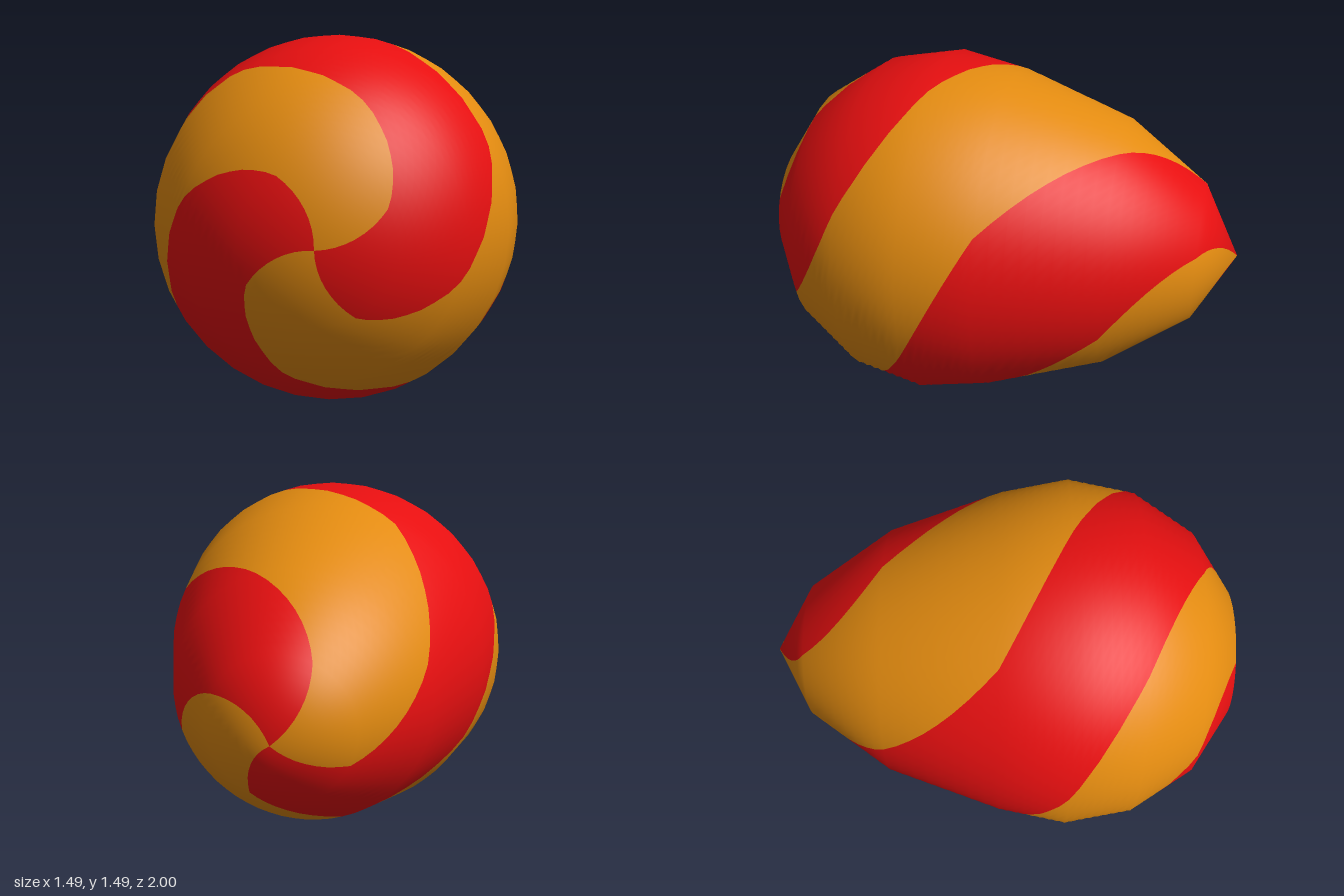
import * as THREE from 'three';

// Profile rings from blunt front to pointed back: [z, radius]
const RINGS = [
  [1, 0], [0.94, 0.285], [0.78, 0.527], [0.53, 0.69], [0.25, 0.745],
  [-0.03, 0.69], [-0.5, 0.525], [-0.84, 0.286], [-1, 0],
].map(([z, r]) => new THREE.Vector2(z, r));
// Twist of the swirl at each ring, in degrees
const TWIST = [0, 29, 73.5, 118, 162, 206, 251, 295, 325];
const SIDES = 32, ROWS = 8, COLS = 16, CENTRE_Y = 0.745;
const lerp = THREE.MathUtils.lerp;

// Smoothed profile normal at each ring
const NORMALS = RINGS.map((p, i) => {
  if (i === 0) return new THREE.Vector2(1, 0);
  if (i === RINGS.length - 1) return new THREE.Vector2(-1, 0);
  const sum = new THREE.Vector2();
  for (const [a, b] of [[RINGS[i - 1], p], [p, RINGS[i + 1]]]) {
    sum.add(new THREE.Vector2(b.y - a.y, a.x - b.x).normalize());
  }
  return sum.normalize();
});

// Keeps the cross-section a regular polygon
function polygonFactor(angle) {
  const step = (2 * Math.PI) / SIDES;
  const local = ((angle % step) + step) % step - step / 2;
  return Math.cos(step / 2) / Math.cos(local);
}

// One quarter-turn swirl band running from the front pole to the back pole
function bandGeometry(startDegrees) {
  const position = [], normal = [], index = [];
  const total = (RINGS.length - 1) * ROWS;
  for (let i = 0; i <= total; i++) {
    const k = Math.min(Math.floor(i / ROWS), RINGS.length - 2);
    const t = i / ROWS - k;
    const p = RINGS[k].clone().lerp(RINGS[k + 1], t);
    const n = NORMALS[k].clone().lerp(NORMALS[k + 1], t).normalize();
    const twist = lerp(TWIST[k], TWIST[k + 1], t) + startDegrees;
    for (let j = 0; j <= COLS; j++) {
      const a = THREE.MathUtils.degToRad(twist + (90 * j) / COLS);
      const r = p.y * polygonFactor(a);
      position.push(r * Math.cos(a), CENTRE_Y + r * Math.sin(a), p.x);
      normal.push(n.y * Math.cos(a), n.y * Math.sin(a), n.x);
      if (i < total && j < COLS) {
        const q = i * (COLS + 1) + j, next = q + COLS + 1;
        if (i < total - 1) index.push(q, next, next + 1);
        else index.push(q, next, q + 1);
        if (i > 0 && i < total - 1) index.push(q, next + 1, q + 1);
      }
    }
  }
  const geometry = new THREE.BufferGeometry();
  geometry.setAttribute('position', new THREE.Float32BufferAttribute(position, 3));
  geometry.setAttribute('normal', new THREE.Float32BufferAttribute(normal, 3));
  geometry.setIndex(index);
  return geometry;
}

export function createModel() {
  const orange = new THREE.MeshStandardMaterial({ color: 0xe38b10 });
  orange.name = 'orange';
  const red = new THREE.MeshStandardMaterial({ color: 0xe60f10 });
  red.name = 'red';

  const model = new THREE.Group();
  model.name = 'swirledEgg';
  // Alternating orange and red bands
  for (let i = 0; i < 4; i++) {
    const band = new THREE.Mesh(bandGeometry(i * 90), i % 2 ? red : orange);
    band.name = i % 2 ? 'redSwirlBand' : 'orangeSwirlBand';
    model.add(band);
  }
  return model;
}
